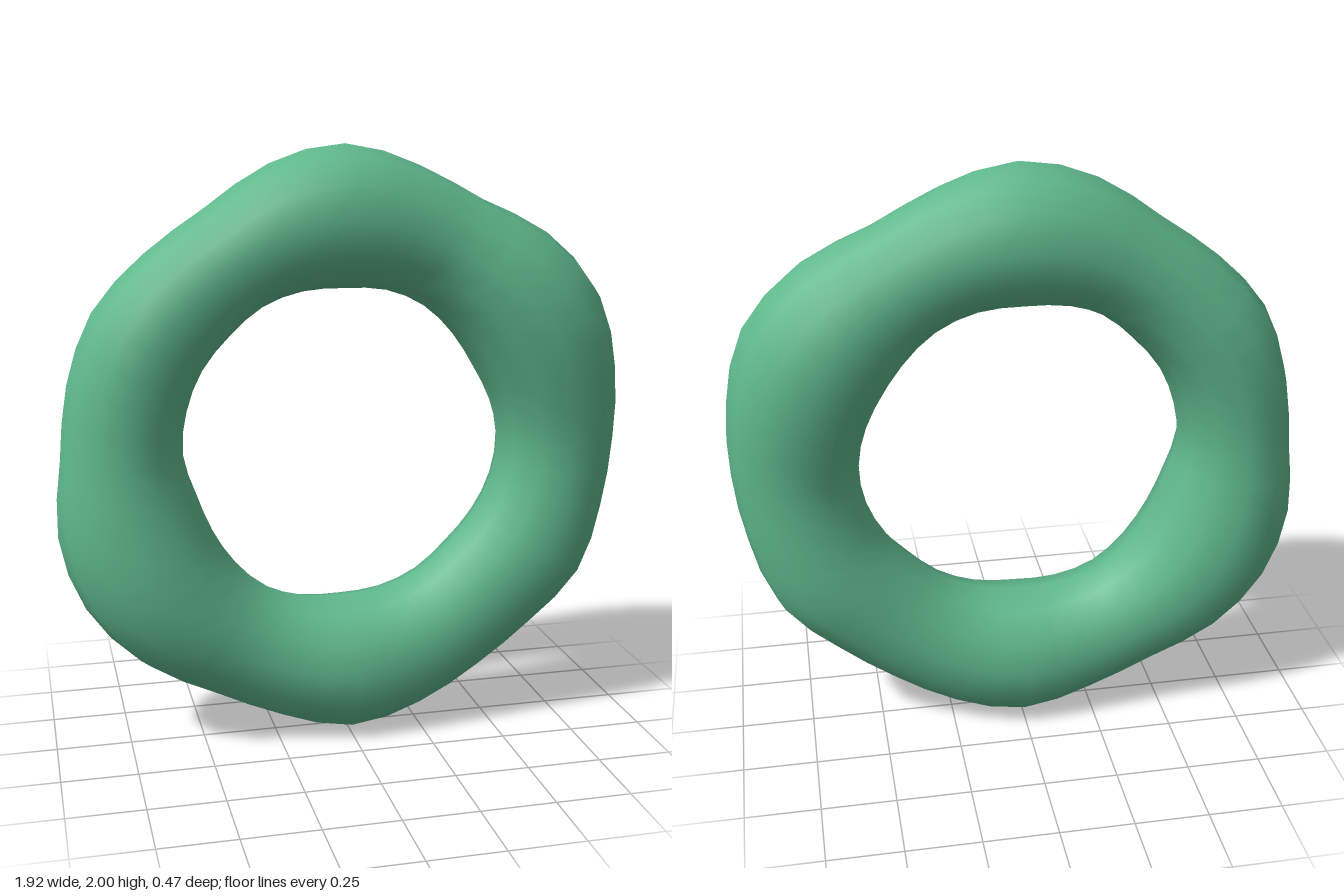
import * as THREE from 'three';
import { mergeVertices } from 'three/addons/utils/BufferGeometryUtils.js';

// Ring stations every 15 degrees from +x: outer radius, inner radius, half depth
const STATIONS = [
  [0.957, 0.54, 0.185], [0.985, 0.527, 0.215], [1.018, 0.515, 0.235], [0.992, 0.525, 0.225],
  [0.942, 0.54, 0.193], [0.963, 0.542, 0.2], [1.0, 0.533, 0.215], [0.972, 0.545, 0.205],
  [0.925, 0.553, 0.187], [0.933, 0.547, 0.185], [0.957, 0.553, 0.195], [0.949, 0.552, 0.19],
  [0.947, 0.549, 0.19], [0.998, 0.526, 0.215], [1.02, 0.528, 0.235], [1.002, 0.54, 0.225],
  [0.96, 0.55, 0.2], [0.968, 0.54, 0.2], [1.0, 0.526, 0.215], [0.97, 0.53, 0.2],
  [0.938, 0.529, 0.188], [0.939, 0.52, 0.19], [0.971, 0.53, 0.2], [0.953, 0.54, 0.19],
];

const TUBE_SIDES = 12;
const RING_SIDES = 48;

// Torus whose elliptical section swells and narrows around the ring
function lumpyTorus() {
  const profile = new THREE.CatmullRomCurve3(
    STATIONS.map((s) => new THREE.Vector3(...s)), true, 'catmullrom', 0.5);
  const geometry = new THREE.TorusGeometry(0.75, 0.2, TUBE_SIDES, RING_SIDES);
  const position = geometry.attributes.position;
  let index = 0;
  for (let j = 0; j <= TUBE_SIDES; j++) {
    const v = ((j % TUBE_SIDES) / TUBE_SIDES) * Math.PI * 2;
    for (let i = 0; i <= RING_SIDES; i++) {
      const t = (i % RING_SIDES) / RING_SIDES;
      const { x: outer, y: inner, z: depth } = profile.getPoint(t);
      const radius = (outer + inner) / 2 + ((outer - inner) / 2) * Math.cos(v);
      const u = t * Math.PI * 2;
      position.setXYZ(index++, radius * Math.cos(u), radius * Math.sin(u), depth * Math.sin(v));
    }
  }
  // Weld the seams so the shading stays smooth all round
  geometry.deleteAttribute('uv');
  geometry.deleteAttribute('normal');
  const welded = mergeVertices(geometry);
  welded.computeVertexNormals();
  return welded;
}

export function createModel() {
  const group = new THREE.Group();
  group.name = 'lumpyRing';
  const ring = new THREE.Mesh(lumpyTorus(), new THREE.MeshStandardMaterial({ color: 0x5fb88c }));
  ring.name = 'ring';
  ring.position.y = 1;
  group.add(ring);
  return group;
}
